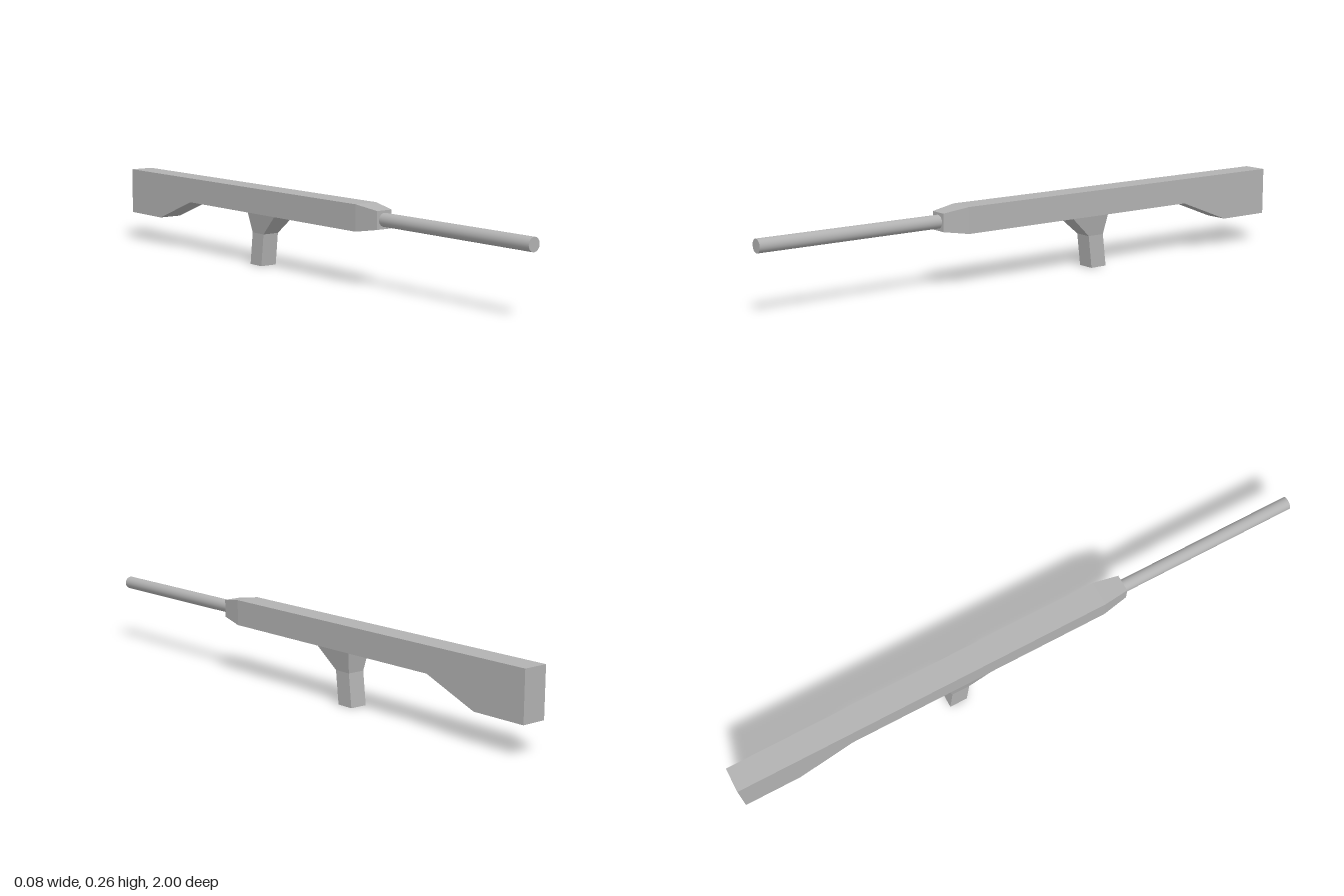
import * as THREE from 'three';

// Solid from four-cornered rings, each counter-clockwise seen from the first end
function loft(rings, material, name) {
  const pos = [];
  const quad = (a, b, c, d) => pos.push(...a, ...b, ...c, ...a, ...c, ...d);
  for (let i = 0; i < rings.length - 1; i++) {
    const p = rings[i], q = rings[i + 1];
    for (let j = 0; j < 4; j++) {
      const k = (j + 1) % 4;
      quad(p[j], q[j], q[k], p[k]);
    }
  }
  quad(...rings[0]);
  quad(...[...rings[rings.length - 1]].reverse());
  const geometry = new THREE.BufferGeometry();
  geometry.setAttribute('position', new THREE.Float32BufferAttribute(pos, 3));
  geometry.computeVertexNormals();
  const mesh = new THREE.Mesh(geometry, material);
  mesh.name = name;
  return mesh;
}

export function createModel() {
  const group = new THREE.Group();
  group.name = 'longGun';
  const grey = new THREE.MeshStandardMaterial({ color: 0xb2b2b2 });
  grey.name = 'grey';

  // Body: tapered nose, straight receiver, stock dropping at the rear
  // Each section: z, half width, bottom, top
  const bodySections = [
    [0.377, 0.029, 0.19, 0.248],
    [0.29, 0.042, 0.176, 0.261],
    [-0.617, 0.042, 0.176, 0.261],
    [-0.81, 0.042, 0.101, 0.261],
    [-1, 0.042, 0.101, 0.261],
  ];
  group.add(loft(bodySections.map(([z, w, b, t]) =>
    [[w, b, z], [w, t, z], [-w, t, z], [-w, b, z]]), grey, 'bodyAndStock'));

  // Grip: flared neck above a slightly raked handle
  // Each section: y, half width, front z, back z
  const gripSections = [
    [0.176, 0.042, -0.125, -0.272],
    [0.109, 0.03, -0.2, -0.261],
    [0, 0.03, -0.213, -0.274],
  ];
  group.add(loft(gripSections.map(([y, w, f, b]) =>
    [[w, y, f], [w, y, b], [-w, y, b], [-w, y, f]]), grey, 'grip'));

  // Barrel
  const barrel = new THREE.Mesh(new THREE.CylinderGeometry(0.0215, 0.0215, 0.63, 32), grey);
  barrel.name = 'barrel';
  barrel.rotation.x = Math.PI / 2;
  barrel.position.set(0, 0.219, 0.685);
  group.add(barrel);

  return group;
}
